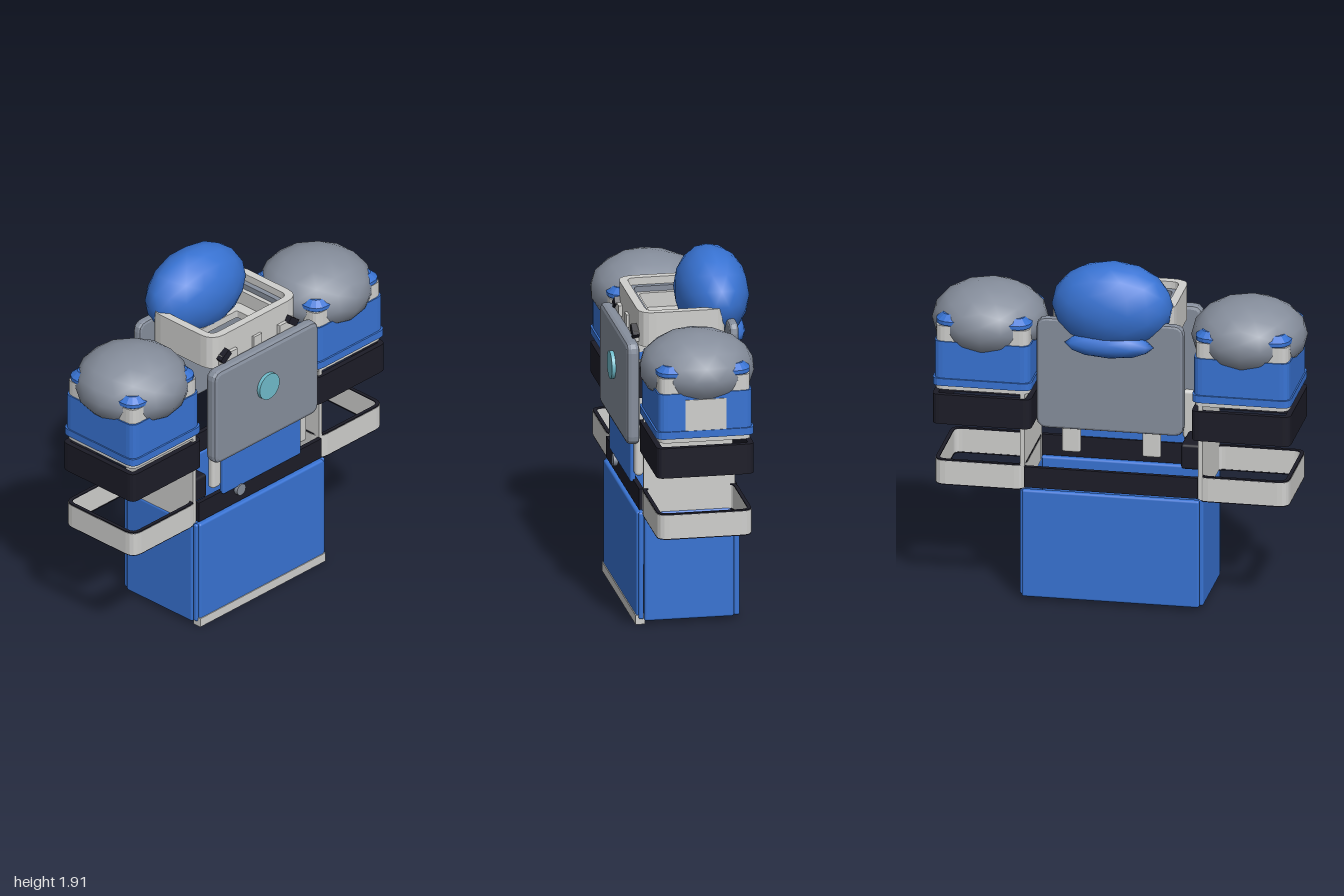
import * as THREE from 'three';
import { RoundedBoxGeometry } from 'three/addons/geometries/RoundedBoxGeometry.js';

const mat = (name, color) => {
  const m = new THREE.MeshStandardMaterial({ color });
  m.name = name;
  return m;
};

export function createModel() {
  const blue = mat('blue', 0x3873d3);
  const grey = mat('slate grey', 0x868e9c);
  const light = mat('light grey', 0xcfcfcd);
  const black = mat('black', 0x1c1c27);
  const cyan = mat('cyan', 0x70bccb);
  const model = new THREE.Group();

  const add = (name, geo, material, x, y, z, parent = model) => {
    const m = new THREE.Mesh(geo, material);
    m.name = name;
    m.position.set(x, y, z);
    parent.add(m);
    return m;
  };

  // Box given by its limits, with optional rounded edges
  const box = (name, material, x0, x1, y0, y1, z0, z1, r = 0, parent = model) => {
    const s = [x1 - x0, y1 - y0, z1 - z0];
    const g = r ? new RoundedBoxGeometry(...s, 2, r) : new THREE.BoxGeometry(...s);
    return add(name, g, material, (x0 + x1) / 2, (y0 + y1) / 2, (z0 + z1) / 2, parent);
  };

  const roundRect = (w, h, r, Kind = THREE.Shape) => {
    const s = new Kind(), a = w / 2, b = h / 2;
    s.moveTo(-a + r, -b);
    s.lineTo(a - r, -b); s.quadraticCurveTo(a, -b, a, -b + r);
    s.lineTo(a, b - r); s.quadraticCurveTo(a, b, a - r, b);
    s.lineTo(-a + r, b); s.quadraticCurveTo(-a, b, -a, b - r);
    s.lineTo(-a, -b + r); s.quadraticCurveTo(-a, -b, -a + r, -b);
    return s;
  };

  // Upright rounded-square band: width, depth, wall thickness, bottom and top height
  const band = (name, material, w, d, t, y0, y1, x, z, parent = model, r = 0.05) => {
    const s = roundRect(w, d, r);
    s.holes.push(roundRect(w - 2 * t, d - 2 * t, Math.max(r - t, 0.01), THREE.Path));
    const g = new THREE.ExtrudeGeometry(s, { depth: y1 - y0, bevelEnabled: false, curveSegments: 4 });
    g.rotateX(-Math.PI / 2);
    return add(name, g, material, x, y0, z, parent);
  };

  // Rounded plate with bevelled edges, facing z
  const plate = (name, material, w, h, d, r, bevel, x, y, z) => {
    const g = new THREE.ExtrudeGeometry(roundRect(w - 2 * bevel, h - 2 * bevel, r), {
      depth: d - 2 * bevel, bevelThickness: bevel, bevelSize: bevel, bevelSegments: 2, curveSegments: 3,
    });
    g.translate(0, 0, bevel - d / 2);
    return add(name, g, material, x, y, z);
  };

  const ellipsoid = (name, material, rx, ry, rz, x, y, z, parent = model, detail = 2) =>
    add(name, new THREE.IcosahedronGeometry(1, detail).scale(rx, ry, rz), material, x, y, z, parent);

  // Skirt: four panels, open above and below, with a hem strip at the front
  box('skirtFront', blue, -0.47, 0.47, 0.03, 0.62, 0.275, 0.315, 0.012);
  box('skirtBack', blue, -0.475, 0.475, 0.02, 0.62, -0.24, -0.205, 0.012);
  for (const s of [-1, 1]) {
    box('skirtSide', blue, s * 0.475 - 0.017, s * 0.475 + 0.017, 0.02, 0.62, -0.205, 0.275, 0.012);
    box('skirtCorner', blue, s * 0.477 - 0.012, s * 0.477 + 0.012, 0.03, 0.62, 0.278, 0.305, 0.01);
  }
  box('hemStrip', light, -0.475, 0.475, 0, 0.05, 0.27, 0.32);

  // Belt with buckle knob and pouch
  box('beltFront', black, -0.465, 0.465, 0.63, 0.745, 0.275, 0.3);
  box('beltBack', black, -0.465, 0.465, 0.63, 0.745, -0.225, -0.2);
  const knob = new THREE.CylinderGeometry(0.033, 0.033, 0.025, 16).rotateX(Math.PI / 2);
  add('beltKnob', knob, grey, -0.165, 0.71, 0.31);
  box('beltPouch', black, -0.435, -0.33, 0.7, 0.84, 0.01, 0.23, 0.015);

  // Abdomen
  box('abdomenPanel', blue, -0.295, 0.295, 0.73, 1.0, 0.285, 0.315, 0.01);
  for (const s of [-1, 1]) {
    box('abdomenSide', light, s * 0.325 - 0.033, s * 0.325 + 0.033, 0.78, 1.05, 0.255, 0.3, 0.018);
    box('backStrap', light, s * 0.215 - 0.05, s * 0.215 + 0.05, 0.84, 1.2, -0.215, -0.185, 0.012);
    box('sidePanel', light, s * 0.477 - 0.012, s * 0.477 + 0.012, 0.62, 1.16, -0.21, 0.28);
  }

  // Chest and back plates
  plate('chestPlate', grey, 0.79, 0.56, 0.07, 0.03, 0.022, 0, 1.24, 0.315);
  plate('backPlate', grey, 0.79, 0.62, 0.05, 0.04, 0.015, 0, 1.29, -0.225);
  const disc = new THREE.CylinderGeometry(0.075, 0.075, 0.03, 32).rotateX(Math.PI / 2);
  add('chestDisc', disc, cyan, 0, 1.29, 0.355);

  // Stepped collar with small fittings on its front
  band('collar', light, 0.66, 0.47, 0.045, 1.48, 1.67, 0, 0.035, model, 0.09);
  band('collarGroove', grey, 0.58, 0.39, 0.035, 1.48, 1.63, 0, 0.035, model, 0.07);
  band('collarInner', light, 0.52, 0.33, 0.03, 1.48, 1.6, 0, 0.035, model, 0.06);
  band('collarFloor', light, 0.47, 0.29, 0.07, 1.48, 1.52, 0, 0.045, model, 0.05);
  box('collarTab', light, -0.03, 0.03, 1.5, 1.57, 0.26, 0.285);
  for (const s of [-1, 1]) {
    box('collarBlock', light, s * 0.22 - 0.06, s * 0.22 + 0.06, 1.5, 1.56, 0.255, 0.29);
    const hook = box('collarHook', black, s * 0.255 - 0.037, s * 0.255 + 0.037, 1.53, 1.57, 0.265, 0.3);
    hook.rotation.z = s * -0.65;
  }

  // Head hood with a fold hanging behind
  ellipsoid('hood', blue, 0.325, 0.24, 0.195, 0, 1.67, -0.175);
  const fold = ellipsoid('hoodFold', blue, 0.24, 0.07, 0.07, 0, 1.48, -0.275, model, 1);
  fold.rotation.x = 0.3;

  // Arms: shoulder shell, upper band and lower cuff
  for (const s of [-1, 1]) {
    const arm = new THREE.Group();
    arm.name = s > 0 ? 'leftArm' : 'rightArm';
    arm.position.set(s * 0.695, 0, 0.035);
    model.add(arm);
    ellipsoid('shoulderDome', grey, 0.308, 0.202, 0.306, 0, 1.48, 0, arm);
    const cap = new THREE.ExtrudeGeometry(roundRect(0.44, 0.43, 0.05), {
      depth: 0.02, bevelThickness: 0.03, bevelSize: 0.035, bevelSegments: 1, curveSegments: 4,
    }).rotateX(-Math.PI / 2);
    add('shoulderCap', cap, blue, 0, 1.505, 0, arm);
    band('shoulderStripe', light, 0.5, 0.49, 0.03, 1.415, 1.5, 0, 0, arm);
    band('shoulderShell', blue, 0.515, 0.505, 0.03, 1.2, 1.415, 0, 0, arm);
    band('shoulderRim', blue, 0.53, 0.525, 0.045, 1.17, 1.21, 0, 0, arm);
    band('shoulderLiner', light, 0.505, 0.495, 0.03, 1.145, 1.17, 0, 0, arm);
    box('shoulderPatch', light, 0.253, 0.262, 1.21, 1.38, -0.11, 0.11, 0, arm);
    band('upperArmBand', black, 0.53, 0.52, 0.03, 0.955, 1.12, 0, 0, arm, 0.04);

    // Cuff with dark rims
    band('cuff', light, 0.49, 0.51, 0.02, 0.618, 0.747, s * 0.01, 0, arm, 0.06);
    for (const y of [0.612, 0.747]) {
      band('cuffRim', black, 0.486, 0.506, 0.02, y, y + 0.006, s * 0.01, 0, arm, 0.06);
    }
  }

  return model;
}
